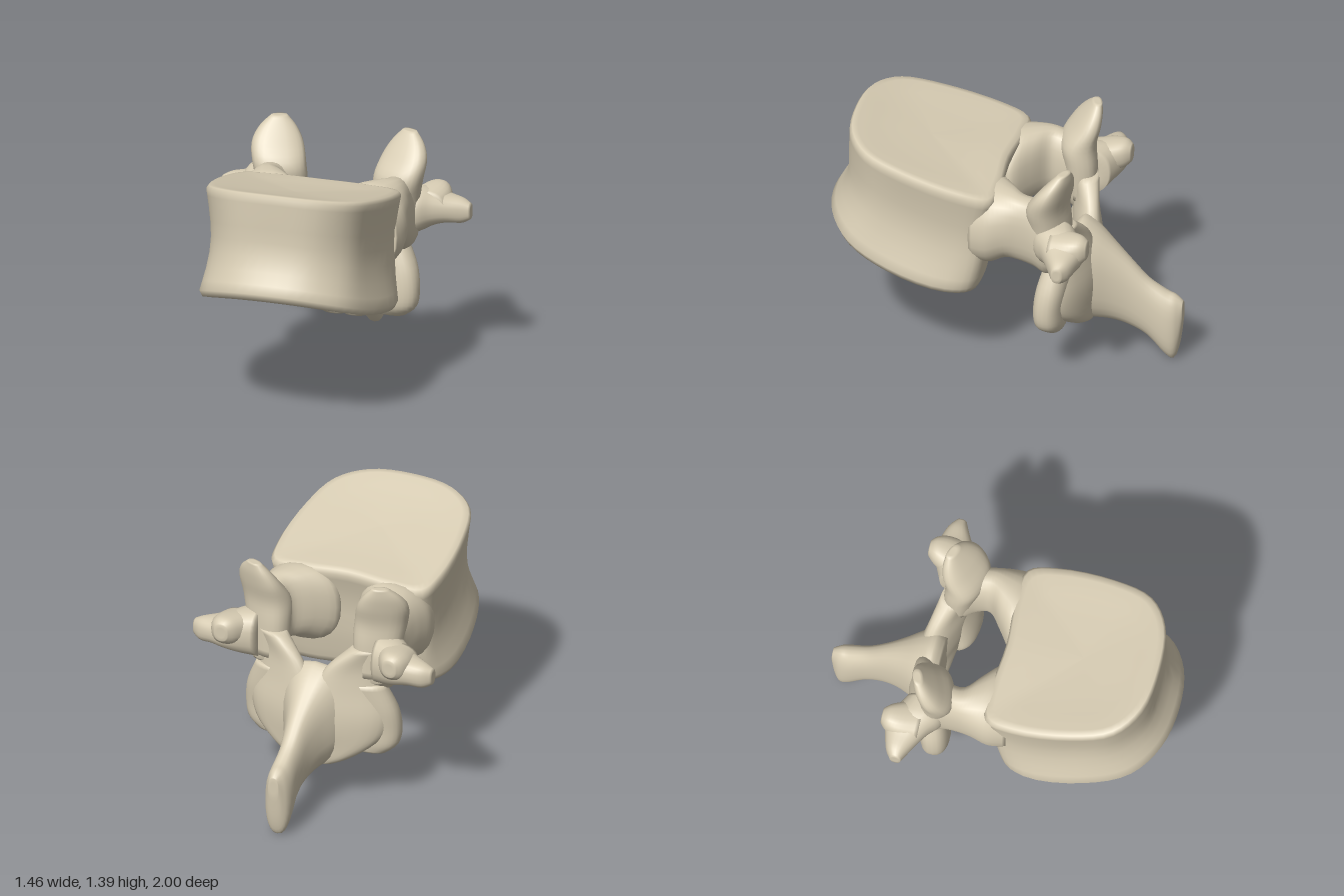
import * as THREE from 'three';

const bone = new THREE.MeshStandardMaterial({ color: 0xd8cdb4 });
bone.name = 'bone';

// Skin a list of equal-length rings, cap both ends and make the faces point outward.
function skin(rings) {
  const n = rings[0].length, pos = [], idx = [];
  rings.forEach(r => r.forEach(p => pos.push(...p)));
  for (let i = 0; i < rings.length - 1; i++)
    for (let j = 0; j < n; j++) {
      const a = i * n + j, b = i * n + (j + 1) % n;
      idx.push(a, b, a + n, b, b + n, a + n);
    }
  [0, rings.length - 1].forEach(k => {
    const c = pos.length / 3;
    pos.push(...[0, 1, 2].map(d => rings[k].reduce((s, p) => s + p[d], 0) / n));
    for (let j = 0; j < n; j++) {
      const a = k * n + j, b = k * n + (j + 1) % n;
      if (k === 0) idx.push(b, a, c); else idx.push(a, b, c);
    }
  });
  let volume = 0;
  const v = i => new THREE.Vector3(pos[3 * i], pos[3 * i + 1], pos[3 * i + 2]);
  for (let i = 0; i < idx.length; i += 3) volume += v(idx[i]).dot(v(idx[i + 1]).cross(v(idx[i + 2])));
  if (volume < 0) idx.reverse();
  const g = new THREE.BufferGeometry();
  g.setAttribute('position', new THREE.Float32BufferAttribute(pos, 3));
  g.setIndex(idx);
  g.computeVertexNormals();
  return g;
}

// Smoothly interpolate a list of number rows.
function splineRows(rows, steps) {
  const out = [], at = i => rows[Math.max(0, Math.min(rows.length - 1, i))];
  for (let i = 0; i < rows.length - 1; i++)
    for (let s = 0; s < steps; s++) {
      const t = s / steps;
      out.push(rows[i].map((b, k) => {
        const a = at(i - 1)[k], c = at(i + 1)[k], d = at(i + 2)[k];
        return b + 0.5 * t * (c - a + t * (2 * a - 5 * b + 4 * c - d + t * (3 * (b - c) + d - a)));
      }));
    }
  out.push(rows[rows.length - 1]);
  return out;
}

// Rounded limb. Rows are x, y, z, two half sizes and a tilt; plane names the section's two axes.
function limb(plane, rows, side = 1) {
  const axes = { xz: [0, 2], xy: [0, 1], zy: [2, 1] }[plane];
  const soft = v => Math.sign(v) * Math.abs(v) ** 0.85;
  const full = rows.map(r => [...r, 0].slice(0, 6));
  const end = (r, k) => [r[0], r[1], r[2], r[3] * k, r[4] * k, r[5]];
  const sections = splineRows(full, 4);
  sections.unshift(end(full[0], 0.6));
  sections.push(end(full[full.length - 1], 0.6));
  return skin(sections.map(([x, y, z, a, b, tilt]) => Array.from({ length: 24 }, (_, j) => {
    const t = j / 24 * Math.PI * 2, u = a * soft(Math.cos(t)), w = b * soft(Math.sin(t));
    const p = [x, y, z];
    p[axes[0]] += u * Math.cos(tilt) - w * Math.sin(tilt);
    p[axes[1]] += u * Math.sin(tilt) + w * Math.cos(tilt);
    p[0] *= side;
    return p;
  })));
}

// Drum of the body: D-shaped outlines blended from the lower rim through a waist to the upper rim.
function bodyGeometry() {
  const lower = [[0, 0.1], [0.28, 0.07], [0.46, 0.1], [0.53, 0.24], [0.51, 0.58], [0.42, 0.83], [0.24, 0.96], [0, 1]];
  const waist = [[0, 0.06], [0.28, 0.03], [0.44, 0.05], [0.475, 0.2], [0.455, 0.5], [0.4, 0.72], [0.24, 0.86], [0, 0.89]];
  const upper = [[0, 0], [0.28, -0.02], [0.46, 0], [0.505, 0.16], [0.49, 0.5], [0.42, 0.73], [0.26, 0.85], [0, 0.885]];
  const outline = half => {
    const pts = [...half, ...half.slice(1, -1).reverse().map(([x, z]) => [-x, z])];
    return new THREE.CatmullRomCurve3(pts.map(([x, z]) => new THREE.Vector3(x, 0, z)), true)
      .getPoints(56).slice(0, 56);
  };
  const L = outline(lower), W = outline(waist), U = outline(upper);
  const yLow = z => 0.55 + 0.26 * z * z;
  const yTop = (x, z) => 1.195 + 0.235 * z - 0.06 * x * x;
  const rings = [];
  const cap = (O, k, dip, top) => rings.push(O.map(p => {
    const x = p.x * k, z = 0.45 + (p.z - 0.45) * k;
    return [x, top ? yTop(x, z) - dip : yLow(z) + dip, z];
  }));
  [[0.03, 0.05], [0.4, 0.045], [0.75, 0.025], [0.9, 0.005], [0.97, 0.005]].forEach(([k, d]) => cap(L, k, d, false));
  // Side wall: blend to the waist at mid height.
  for (const t of [0.06, 0.14, 0.25, 0.38, 0.52, 0.66, 0.8, 0.9, 0.96]) {
    const rim = t < 0.52 ? L : U;
    const f = Math.abs(t - 0.52) / (t < 0.52 ? 0.46 : 0.44), w = 1 - Math.min(1, f * f * (1.6 - 0.6 * f));
    rings.push(rim.map((p, j) => {
      const x = p.x + (W[j].x - p.x) * w, z = p.z + (W[j].z - p.z) * w;
      return [x, yLow(L[j].z) * (1 - t) + yTop(U[j].x, U[j].z) * t, z];
    }));
  }
  [[0.97, 0.005], [0.9, 0.002], [0.7, 0.015], [0.4, 0.025], [0.03, 0.03]].forEach(([k, d]) => cap(U, k, d, true));
  return skin(rings);
}

export function createModel() {
  const group = new THREE.Group();
  const add = (name, geometry) => {
    const mesh = new THREE.Mesh(geometry, bone);
    mesh.name = name;
    group.add(mesh);
  };

  add('vertebralBody', bodyGeometry());

  // Broad where it leaves the arch, then a thin blade with a thicker tip.
  add('spinousBlade', limb('xy', [
    [0, 0.54, -0.365, 0.17, 0.24], [0, 0.54, -0.42, 0.21, 0.3], [0, 0.515, -0.5, 0.17, 0.285],
    [0, 0.465, -0.6, 0.115, 0.245], [0, 0.4, -0.7, 0.08, 0.21], [0, 0.32, -0.8, 0.07, 0.185],
    [0, 0.235, -0.9, 0.077, 0.205], [0, 0.215, -0.95, 0.07, 0.205], [0, 0.25, -0.98, 0.05, 0.15],
    [0, 0.32, -1, 0.03, 0.06],
  ]));

  // Paired parts, mirrored left and right.
  for (const [side, label] of [[1, 'left'], [-1, 'right']]) {
    // The root spreads inward across the back of the body.
    add(label + 'Pedicle', limb('xy', [
      [0.3, 0.93, 0.12, 0.18, 0.2], [0.28, 0.95, 0.02, 0.225, 0.235], [0.325, 0.98, -0.08, 0.165, 0.21],
      [0.365, 0.975, -0.16, 0.108, 0.205], [0.36, 0.95, -0.24, 0.105, 0.21],
      [0.345, 0.91, -0.32, 0.13, 0.21], [0.33, 0.9, -0.41, 0.11, 0.13],
    ], side));

    add(label + 'UpperFacet', limb('xz', [
      [0.33, 0.8, -0.34, 0.12, 0.08, 0.35], [0.335, 1, -0.325, 0.14, 0.095, 0.35],
      [0.35, 1.13, -0.31, 0.15, 0.1, 0.35], [0.375, 1.24, -0.35, 0.145, 0.075, 0.4],
      [0.385, 1.32, -0.385, 0.105, 0.05, 0.4], [0.385, 1.38, -0.41, 0.045, 0.025, 0.4],
    ], side));

    add(label + 'TransverseWing', limb('zy', [
      [0.36, 0.92, -0.36, 0.12, 0.14], [0.46, 0.93, -0.39, 0.14, 0.125], [0.53, 0.935, -0.43, 0.125, 0.1],
      [0.6, 0.93, -0.445, 0.095, 0.08], [0.68, 0.92, -0.455, 0.06, 0.07], [0.73, 0.92, -0.45, 0.03, 0.045],
    ], side));

    add(label + 'WingKnob', limb('xy', [
      [0.47, 0.95, -0.36, 0.13, 0.09], [0.505, 0.965, -0.47, 0.105, 0.09],
      [0.515, 0.975, -0.54, 0.075, 0.08], [0.515, 0.98, -0.578, 0.04, 0.05],
    ], side));

    // Tilted so the inner ends meet further back and run into the spinous blade.
    add(label + 'Lamina', limb('xz', [
      [0.31, 0.97, -0.36, 0.11, 0.07, 0.5], [0.24, 0.85, -0.385, 0.17, 0.06, 0.45],
      [0.2, 0.72, -0.4, 0.2, 0.075, 0.4], [0.2, 0.56, -0.41, 0.23, 0.09, 0.35],
      [0.18, 0.42, -0.42, 0.21, 0.085, 0.3], [0.1, 0.3, -0.43, 0.14, 0.08, 0.1],
      [0.06, 0.245, -0.44, 0.07, 0.06],
    ], side));

    add(label + 'LowerFacet', limb('xz', [
      [0.29, 0.75, -0.37, 0.1, 0.07, 0.3], [0.325, 0.6, -0.34, 0.13, 0.085, 0.2],
      [0.335, 0.47, -0.32, 0.137, 0.085, 0.12], [0.325, 0.37, -0.32, 0.13, 0.08, 0.1],
      [0.295, 0.312, -0.335, 0.095, 0.055, 0.1],
    ], side));
  }
  return group;
}
